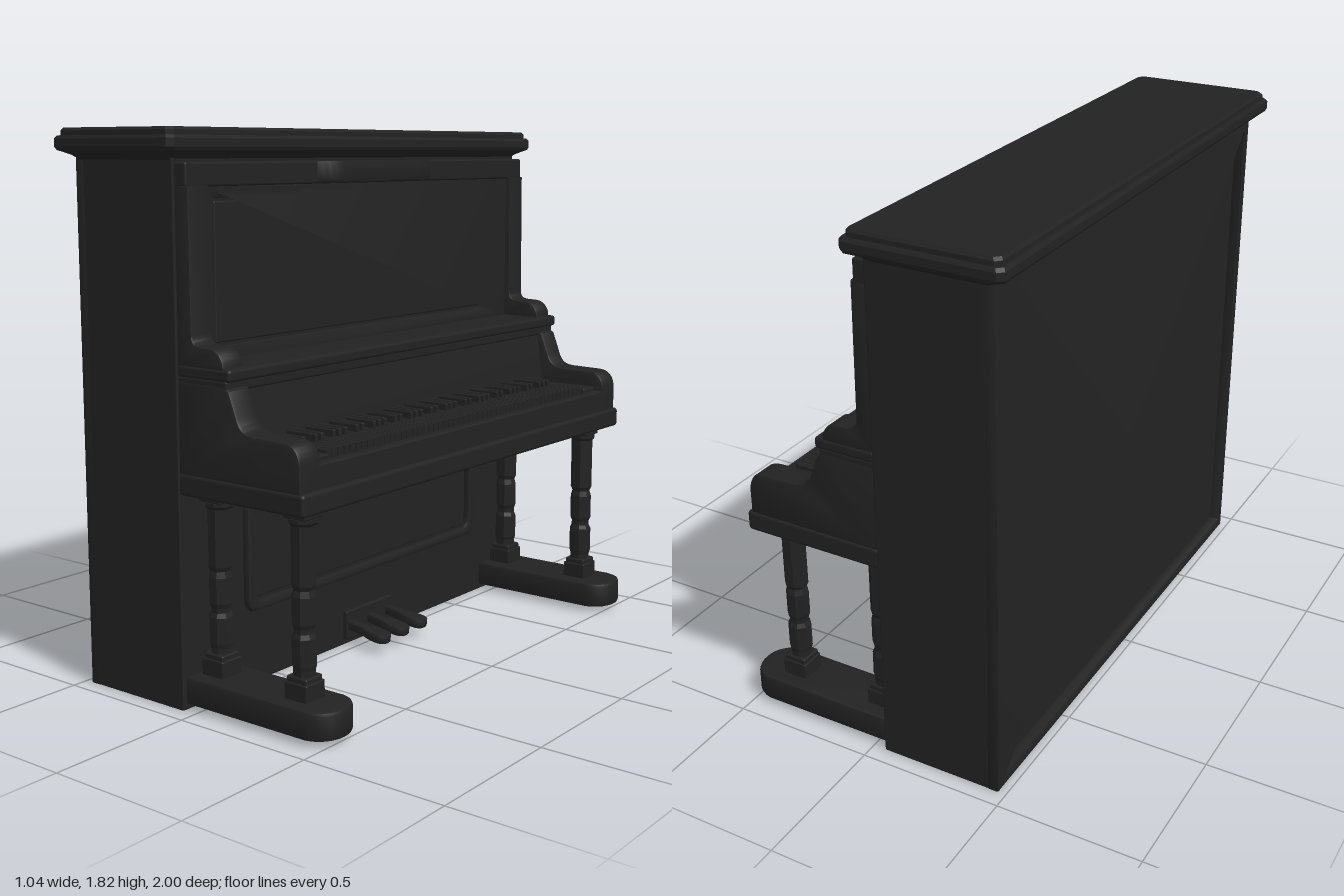
import * as THREE from 'three';
import { RoundedBoxGeometry } from 'three/addons/geometries/RoundedBoxGeometry.js';
import { toCreasedNormals } from 'three/addons/utils/BufferGeometryUtils.js';

const black = new THREE.MeshStandardMaterial({ color: 0x222222 });

export function createModel() {
  const model = new THREE.Group();

  const add = (name, geometry, parent = model) => {
    const mesh = new THREE.Mesh(geometry, black);
    mesh.name = name;
    parent.add(mesh);
    return mesh;
  };
  // Box given by its limits, with optional rounded edges
  const box = (name, [x0, x1], [y0, y1], [z0, z1], r = 0, parent = model) => {
    const size = [x1 - x0, y1 - y0, z1 - z0];
    const g = r ? new RoundedBoxGeometry(...size, 2, r) : new THREE.BoxGeometry(...size);
    g.translate((x0 + x1) / 2, (y0 + y1) / 2, (z0 + z1) / 2);
    return add(name, g, parent);
  };
  // Extrusion whose overall depth includes its bevels, starting at 0
  const extrude = (shape, depth, bevel = 0) => {
    const g = new THREE.ExtrudeGeometry(shape, {
      depth: depth - 2 * bevel, bevelEnabled: bevel > 0, bevelSize: bevel, bevelOffset: -bevel,
      bevelThickness: bevel, bevelSegments: 2, curveSegments: 8,
    });
    return toCreasedNormals(g.translate(0, 0, bevel), 0.6);
  };
  // Rounded rectangle, as a shape or as a hole
  const rect = (w, y0, y1, r, Type = THREE.Shape) => {
    const s = new Type();
    s.moveTo(-w + r, y0);
    s.lineTo(w - r, y0); s.quadraticCurveTo(w, y0, w, y0 + r);
    s.lineTo(w, y1 - r); s.quadraticCurveTo(w, y1, w - r, y1);
    s.lineTo(-w + r, y1); s.quadraticCurveTo(-w, y1, -w, y1 - r);
    s.lineTo(-w, y0 + r); s.quadraticCurveTo(-w, y0, -w + r, y0);
    return s;
  };
  // Rectangular frame standing in the z-y plane, from x0 to x1
  const frame = (name, [x0, x1], outer, inner, bevel) => {
    const s = rect(...outer);
    s.holes.push(rect(...inner, THREE.Path));
    return add(name, extrude(s, x1 - x0, bevel).rotateY(Math.PI / 2).translate(x0, 0, 0));
  };

  // Case with a recessed back
  box('case', [-0.44, -0.045], [0, 1.74], [-0.945, 0.945], 0.006);
  frame('backFrame', [-0.475, -0.43], [0.945, 0, 1.74, 0.004], [0.905, 0.04, 1.72, 0.004], 0.008);

  // Lid: moulding flaring out of the case, then a thinner top board
  const lidRings = [[0, 1.725], [0.018, 1.74], [0.05, 1.755], [0.055, 1.765], [0.055, 1.79], [0.048, 1.8], [0.04, 1.8], [0.04, 1.815], [0.033, 1.824]];
  const positions = [], indices = [];
  lidRings.forEach(([e, y]) => {
    const hx = 0.21 + e, hz = 0.945 + e, c = 0.018;
    [[hx, hz - c], [hx - c, hz], [c - hx, hz], [-hx, hz - c], [-hx, c - hz], [c - hx, -hz], [hx - c, -hz], [hx, c - hz]]
      .forEach(([x, z]) => positions.push(x - 0.26, y, z));
  });
  const last = (lidRings.length - 1) * 8;
  for (let r = 0; r < last; r += 8) {
    for (let i = 0; i < 8; i++) {
      const a = r + i, b = r + (i + 1) % 8;
      indices.push(a, a + 8, b, b, a + 8, b + 8);
    }
  }
  for (let i = 1; i < 7; i++) indices.push(0, i, i + 1, last, last + i + 1, last + i);
  const lid = new THREE.BufferGeometry();
  lid.setAttribute('position', new THREE.Float32BufferAttribute(positions, 3));
  // Rings run clockwise seen from above, so every triangle is turned round
  for (let i = 0; i < indices.length; i += 3) [indices[i + 1], indices[i + 2]] = [indices[i + 2], indices[i + 1]];
  for (let i = 0; i < indices.length; i += 3) [indices[i + 1], indices[i + 2]] = [indices[i + 2], indices[i + 1]];
  lid.setIndex(indices);
  add('lid', toCreasedNormals(lid, 0.4));

  // Upper front: rail, bowed music ledge and framed panel
  box('topRail', [-0.06, 0], [1.645, 1.72], [-0.935, 0.935], 0.008);
  const bow = new THREE.Shape();
  bow.moveTo(-0.02, -0.32);
  bow.lineTo(0, -0.32);
  bow.bezierCurveTo(0.015, -0.27, 0.03, -0.26, 0.03, -0.21);
  bow.lineTo(0.03, 0.21);
  bow.bezierCurveTo(0.03, 0.26, 0.015, 0.27, 0, 0.32);
  bow.lineTo(-0.02, 0.32);
  add('musicLedge', extrude(bow, 0.07, 0.004).rotateX(Math.PI / 2).translate(0, 1.72, 0));
  frame('upperPanelFrame', [-0.05, -0.008], [0.845, 1.1, 1.65, 0.003], [0.805, 1.15, 1.61, 0.003], 0.006);
  box('upperPanel', [-0.05, -0.024], [1.16, 1.6], [-0.79, 0.79], 0.006);

  // Shelf and fallboard above the keys
  box('shelf', [-0.05, 0.17], [1.07, 1.11], [-0.94, 0.94], 0.012);
  box('shelfMoulding', [-0.05, 0.155], [1.04, 1.075], [-0.937, 0.937], 0.008);
  const fall = new THREE.Shape([[-0.05, 0.77], [0.175, 0.77], [0.17, 0.9], [0.145, 1.05], [-0.05, 1.05]].map((p) => new THREE.Vector2(...p)));
  add('fallboard', extrude(fall, 1.7).translate(0, 0, -0.85));

  // Keybed and key slip
  box('keybed', [-0.05, 0.455], [0.7, 0.77], [-0.942, 0.942], 0.012);
  box('keySlip', [0.4, 0.437], [0.765, 0.845], [-0.85, 0.85], 0.008);
  box('keyRail', [0.15, 0.41], [0.765, 0.825], [-0.85, 0.85]);

  // Keys: 52 naturals, bass at +z
  const keys = new THREE.Group();
  keys.name = 'keys';
  model.add(keys);
  const pitch = 1.52 / 52;
  for (let i = 0; i < 52; i++) {
    const z = 0.76 - i * pitch;
    box('naturalKey', [0.16, 0.392], [0.82, 0.868], [z - pitch + 0.003, z], 0, keys);
    if (![1, 4].includes(i % 7) && i < 51) {
      box('sharpKey', [0.16, 0.285], [0.85, 0.892], [z - pitch - 0.007, z - pitch + 0.009], 0.003, keys);
    }
  }

  // Side profiles of the cheeks and of the pilasters with their scrolls
  const cheek = new THREE.Shape();
  cheek.moveTo(-0.05, 0.765);
  cheek.lineTo(0.44, 0.765);
  cheek.lineTo(0.44, 0.85);
  cheek.quadraticCurveTo(0.437, 0.917, 0.375, 0.917);
  cheek.lineTo(0.26, 0.92);
  cheek.bezierCurveTo(0.21, 0.923, 0.202, 0.945, 0.19, 0.98);
  cheek.lineTo(0.165, 1.045);
  cheek.lineTo(0.14, 1.06);
  cheek.lineTo(-0.05, 1.06);
  const pilaster = new THREE.Shape();
  pilaster.moveTo(-0.05, 1.1);
  pilaster.lineTo(0.14, 1.1);
  pilaster.lineTo(0.14, 1.125);
  pilaster.bezierCurveTo(0.125, 1.16, 0.105, 1.168, 0.075, 1.168);
  pilaster.bezierCurveTo(0.035, 1.168, 0.012, 1.17, 0.012, 1.2);
  pilaster.lineTo(0.008, 1.65);
  pilaster.lineTo(-0.05, 1.65);

  // Foot outline, rounded at its front end
  const foot = new THREE.Shape();
  foot.moveTo(-0.05, -0.097);
  foot.lineTo(0.44, -0.097);
  foot.bezierCurveTo(0.49, -0.09, 0.52, -0.05, 0.52, 0);
  foot.bezierCurveTo(0.52, 0.05, 0.49, 0.09, 0.44, 0.097);
  foot.lineTo(-0.05, 0.097);

  // Eight-sided leg outline: radius, height
  const legProfile = [[0.036, 0.17], [0.036, 0.2], [0.04, 0.215], [0.04, 0.3], [0.033, 0.315], [0.033, 0.33], [0.039, 0.345],
    [0.039, 0.43], [0.033, 0.45], [0.04, 0.465], [0.04, 0.65], [0.048, 0.66], [0.048, 0.672], [0.041, 0.676]]
    .map(([r, y]) => new THREE.Vector2(r, y));

  for (const s of [1, -1]) {
    const side = new THREE.Group();
    side.name = s > 0 ? 'leftSupport' : 'rightSupport';
    model.add(side);
    add('cheek', extrude(cheek, 0.1, 0.012), side).position.z = s * 0.89 - 0.05;
    add('pilaster', extrude(pilaster, 0.095, 0.008), side).position.z = s * 0.889 - 0.0475;
    box('keyBlock', [0.16, 0.405], [0.765, 0.86], [s * 0.806 - 0.044, s * 0.806 + 0.044], 0.006, side);
    add('foot', extrude(foot, 0.093, 0.012).rotateX(Math.PI / 2), side).position.set(0, 0.11, s * 0.832);
    for (const x of [0.018, 0.362]) {
      const leg = new THREE.Group();
      leg.name = x < 0.2 ? 'rearLeg' : 'frontLeg';
      leg.position.set(x, 0, s * 0.832);
      side.add(leg);
      const shaft = new THREE.LatheGeometry(legProfile, 8, Math.PI / 8);
      add('legShaft', toCreasedNormals(shaft, 0.2), leg);
      box('legBase', [-0.045, 0.045], [0.105, 0.165], [-0.045, 0.045], 0.005, leg);
      box('legBaseCap', [-0.04, 0.04], [0.16, 0.182], [-0.04, 0.04], 0.006, leg);
      box('legCapital', [-0.045, 0.045], [0.672, 0.705], [-0.045, 0.045], 0.006, leg);
    }
  }

  // Lower front panel with a raised, rounded frame
  frame('lowerPanelFrame', [-0.05, -0.02], [0.66, 0.25, 0.635, 0.05], [0.62, 0.285, 0.6, 0.04], 0.012);
  box('lowerPanel', [-0.05, -0.036], [0.295, 0.59], [-0.61, 0.61], 0.005);

  // Pedals on a small plate
  box('pedalPlate', [-0.05, -0.03], [0.02, 0.125], [-0.137, 0.137], 0.005);
  const pedal = new THREE.Shape();
  pedal.moveTo(-0.05, -0.018);
  pedal.lineTo(0.03, -0.02);
  pedal.bezierCurveTo(0.08, -0.036, 0.14, -0.05, 0.14, 0);
  pedal.bezierCurveTo(0.14, 0.05, 0.08, 0.036, 0.03, 0.02);
  pedal.lineTo(-0.05, 0.018);
  for (const z of [-0.11, 0, 0.11]) {
    const mesh = add('pedal', extrude(pedal, 0.032, 0.006).rotateX(Math.PI / 2));
    mesh.position.set(0, 0.085, z);
    mesh.rotation.z = -0.14;
  }
  return model;
}
